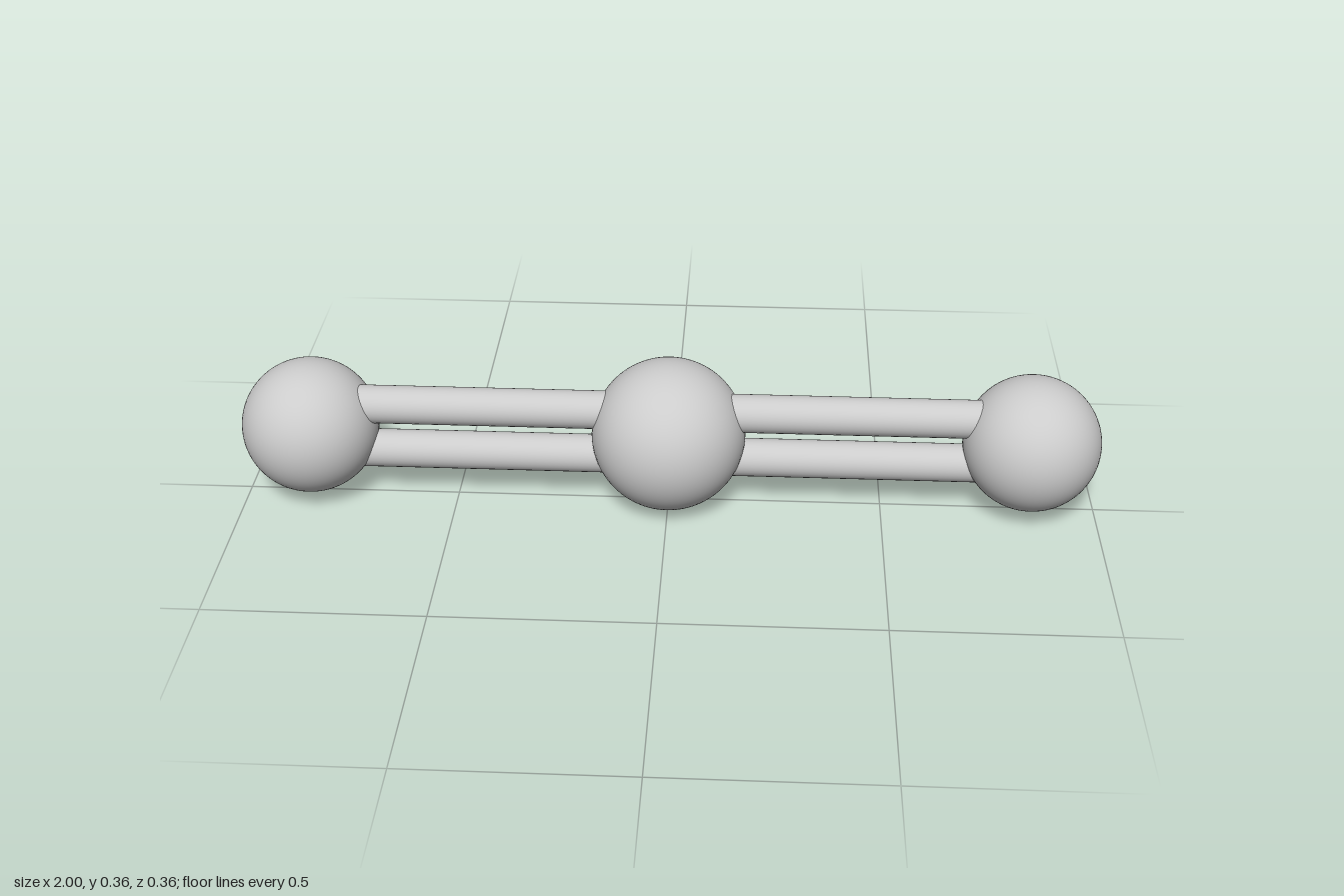
import * as THREE from 'three';

const CENTER_R = 0.179, END_R = 0.159, ROD_R = 0.045;
const END_X = 1 - END_R;
const ROD_OFFSET = 0.059;

export function createModel() {
  const model = new THREE.Group();
  model.name = 'ballAndStickMolecule';
  const material = new THREE.MeshStandardMaterial({ color: 0xcccccc });

  const add = (name, geometry, x, y) => {
    const mesh = new THREE.Mesh(geometry, material);
    mesh.name = name;
    mesh.position.set(x, y, 0);
    model.add(mesh);
  };

  // Central ball rests on the ground
  add('centerBall', new THREE.SphereGeometry(CENTER_R, 64, 48), 0, CENTER_R);

  const endBall = new THREE.SphereGeometry(END_R, 64, 48);
  const rod = new THREE.CylinderGeometry(ROD_R, ROD_R, END_X, 32).rotateZ(Math.PI / 2);

  // Each side: an end ball joined to the centre by a pair of rods
  for (const [side, s] of [['left', 1], ['right', -1]]) {
    add(`${side}EndBall`, endBall, s * END_X, CENTER_R);
    add(`${side}UpperRod`, rod, s * END_X / 2, CENTER_R + ROD_OFFSET);
    add(`${side}LowerRod`, rod, s * END_X / 2, CENTER_R - ROD_OFFSET);
  }
  return model;
}
